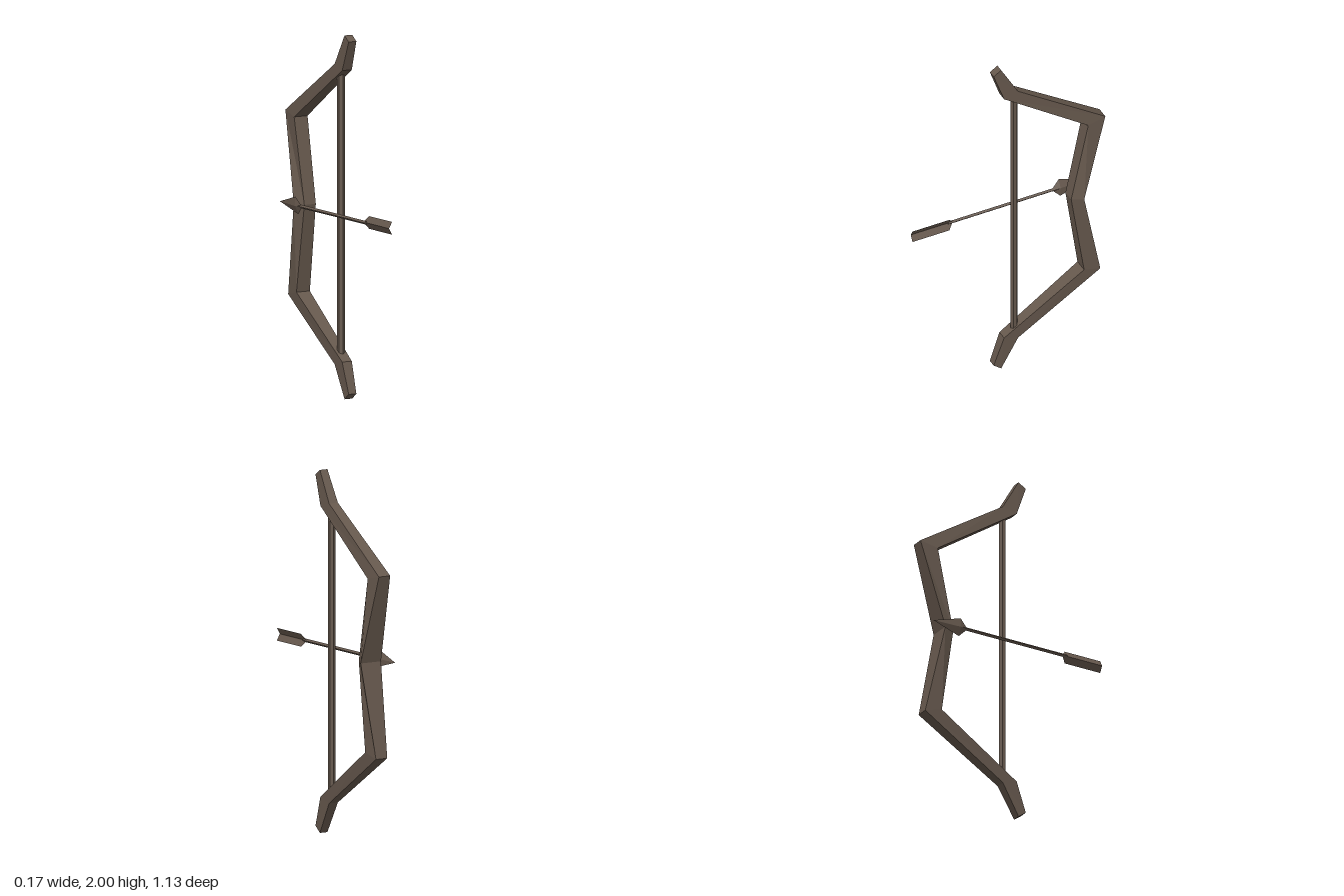
import * as THREE from 'three';

const brown = new THREE.MeshStandardMaterial({ color: 0x66584d, flatShading: true, side: THREE.DoubleSide });
brown.name = 'brown wood';

function part(name, geometry, parent) {
  const mesh = new THREE.Mesh(geometry, brown);
  mesh.name = name;
  parent.add(mesh);
  return mesh;
}

// Four-cornered sections joined from top to bottom.
// Section: [outer z, outer y, outer half width, inner z, inner y, inner half width]
function loftLimbs(sections, cx) {
  const pos = [];
  const rings = sections.map(([oz, oy, ow, iz, iy, iw]) => [
    [cx + ow, oy, oz], [cx - ow, oy, oz], [cx - iw, iy, iz], [cx + iw, iy, iz]]);
  const tri = (a, b, c) => pos.push(...a, ...b, ...c);
  for (let i = 0; i < rings.length - 1; i++) {
    for (let k = 0; k < 4; k++) {
      const n = (k + 1) % 4, top = rings[i], low = rings[i + 1];
      tri(top[k], low[k], low[n]);
      tri(top[k], low[n], top[n]);
    }
  }
  const f = rings[0], l = rings[rings.length - 1];
  tri(f[0], f[1], f[2]); tri(f[0], f[2], f[3]);
  tri(l[2], l[1], l[0]); tri(l[3], l[2], l[0]);
  const g = new THREE.BufferGeometry();
  g.setAttribute('position', new THREE.Float32BufferAttribute(pos, 3));
  g.computeVertexNormals();
  return g;
}

// Flat vane folded away from the shaft, side = 1 for upper, -1 for lower
function vane(side) {
  const p = [[0, 0, 0.31], [0.02, side * 0.035, 0.34], [0.02, side * 0.035, 0.568], [0, 0, 0.568]];
  const g = new THREE.BufferGeometry();
  g.setAttribute('position', new THREE.Float32BufferAttribute(p.flat(), 3));
  g.setIndex(side > 0 ? [0, 2, 1, 0, 3, 2] : [0, 1, 2, 0, 2, 3]);
  g.computeVertexNormals();
  return g;
}

export function createModel() {
  const model = new THREE.Group();
  model.name = 'bowAndArrow';

  // Angular bow, thickest at the grip
  part('bowLimbs', loftLimbs([
    [0.055, 2.0, 0.024, 0.10, 1.97, 0.024],
    [-0.045, 1.83, 0.028, 0.04, 1.805, 0.03],
    [-0.565, 1.505, 0.036, -0.46, 1.48, 0.042],
    [-0.425, 1.01, 0.065, -0.36, 1.01, 0.036],
    [-0.535, 0.495, 0.036, -0.435, 0.52, 0.042],
    [-0.045, 0.178, 0.028, 0.04, 0.203, 0.03],
    [0.055, 0.0, 0.024, 0.10, 0.033, 0.024],
  ], 0.015), model);

  // Bowstring
  const string = part('bowstring', new THREE.CylinderGeometry(0.021, 0.021, 1.56, 6), model);
  string.position.set(0.018, 1.005, -0.031);

  // Arrow, pointing to the back beside the grip
  const arrow = new THREE.Group();
  arrow.name = 'arrow';
  arrow.position.set(-0.055, 1.013, 0);
  arrow.rotation.y = 0.05;
  model.add(arrow);

  const shaft = part('arrowShaft', new THREE.CylinderGeometry(0.01, 0.01, 0.68, 4).rotateX(-Math.PI / 2), arrow);
  shaft.position.z = 0;

  // Flat diamond-shaped head made of a long and a short cone
  const head = new THREE.Group();
  head.name = 'arrowHead';
  head.position.set(-0.001, 0, -0.35);
  head.rotation.z = 0.2;
  head.scale.x = 0.25;
  arrow.add(head);
  const tip = part('headTip', new THREE.ConeGeometry(0.05, 0.17, 4, 1, true).rotateX(-Math.PI / 2), head);
  tip.position.z = -0.085;
  const base = part('headBase', new THREE.ConeGeometry(0.05, 0.05, 4, 1, true).rotateX(Math.PI / 2), head);
  base.position.z = 0.025;

  // Fletching
  part('upperVane', vane(1), arrow);
  part('lowerVane', vane(-1), arrow);

  return model;
}
